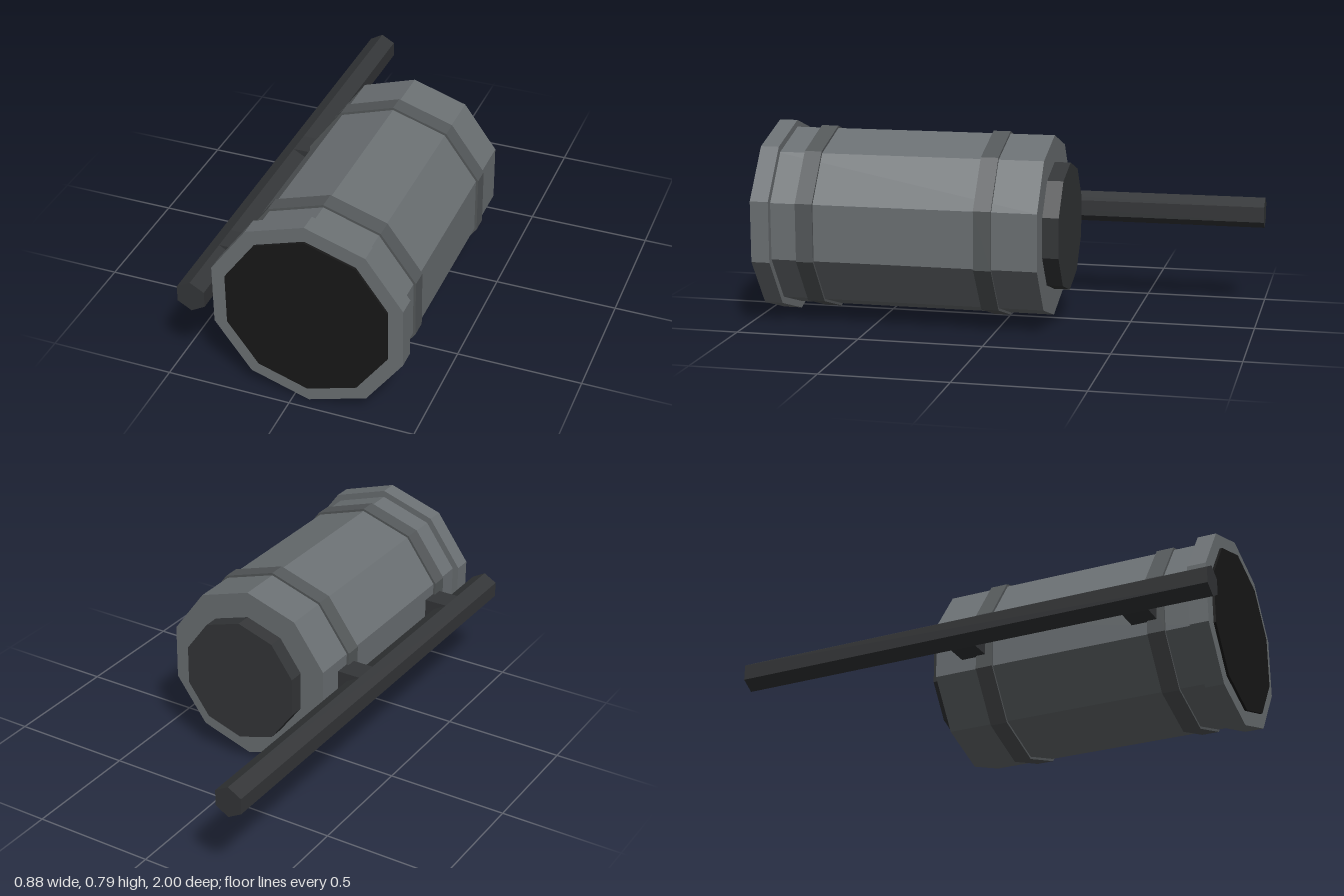
import * as THREE from 'three';

const CENTER_X = 0.062, CENTER_Y = 0.397;

function material(color) {
  return new THREE.MeshStandardMaterial({ color, flatShading: true });
}

// Prism lying along z between z0 and z1, with a corner pointing up
function prism(name, radius, sides, z0, z1, x, mat) {
  const geometry = new THREE.CylinderGeometry(radius, radius, z1 - z0, sides);
  geometry.rotateX(Math.PI / 2);
  const mesh = new THREE.Mesh(geometry, mat);
  mesh.name = name;
  mesh.position.set(x, CENTER_Y, (z0 + z1) / 2);
  return mesh;
}

export function createModel() {
  const model = new THREE.Group();
  model.name = 'canister';

  const shell = material(0x6b7073);
  const bandMat = material(0x54585a);
  const dark = material(0x343638);
  const black = material(0x181818);

  // Ten-sided housing with front rim, front lens and rear cap
  model.add(
    prism('housing', 0.368, 10, -0.195, 0.9, CENTER_X, shell),
    prism('frontRim', 0.396, 10, 0.88, 0.955, CENTER_X, shell),
    prism('frontLens', 0.336, 10, 0.9, 0.965, CENTER_X, black),
    prism('rearCap', 0.26, 10, -0.26, -0.18, CENTER_X, dark)
  );

  // Clamping bands and the brackets that tie the housing to the rod
  const bands = [[-0.015, 0.055], [0.705, 0.775]];
  const brackets = [-0.0275, 0.6925];
  bands.forEach(([z0, z1], i) => {
    model.add(prism('band' + (i + 1), 0.378, 10, z0, z1, CENTER_X, bandMat));
    const bracket = new THREE.Mesh(new THREE.BoxGeometry(0.124, 0.128, 0.105), dark);
    bracket.name = 'bracket' + (i + 1);
    bracket.position.set(-0.322, CENTER_Y + 0.002, brackets[i]);
    model.add(bracket);
  });

  // Long hexagonal mounting rod
  const rod = prism('mountingRod', 0.064, 6, -1, 1, -0.384, dark);
  rod.position.y += 0.002;
  model.add(rod);

  return model;
}
